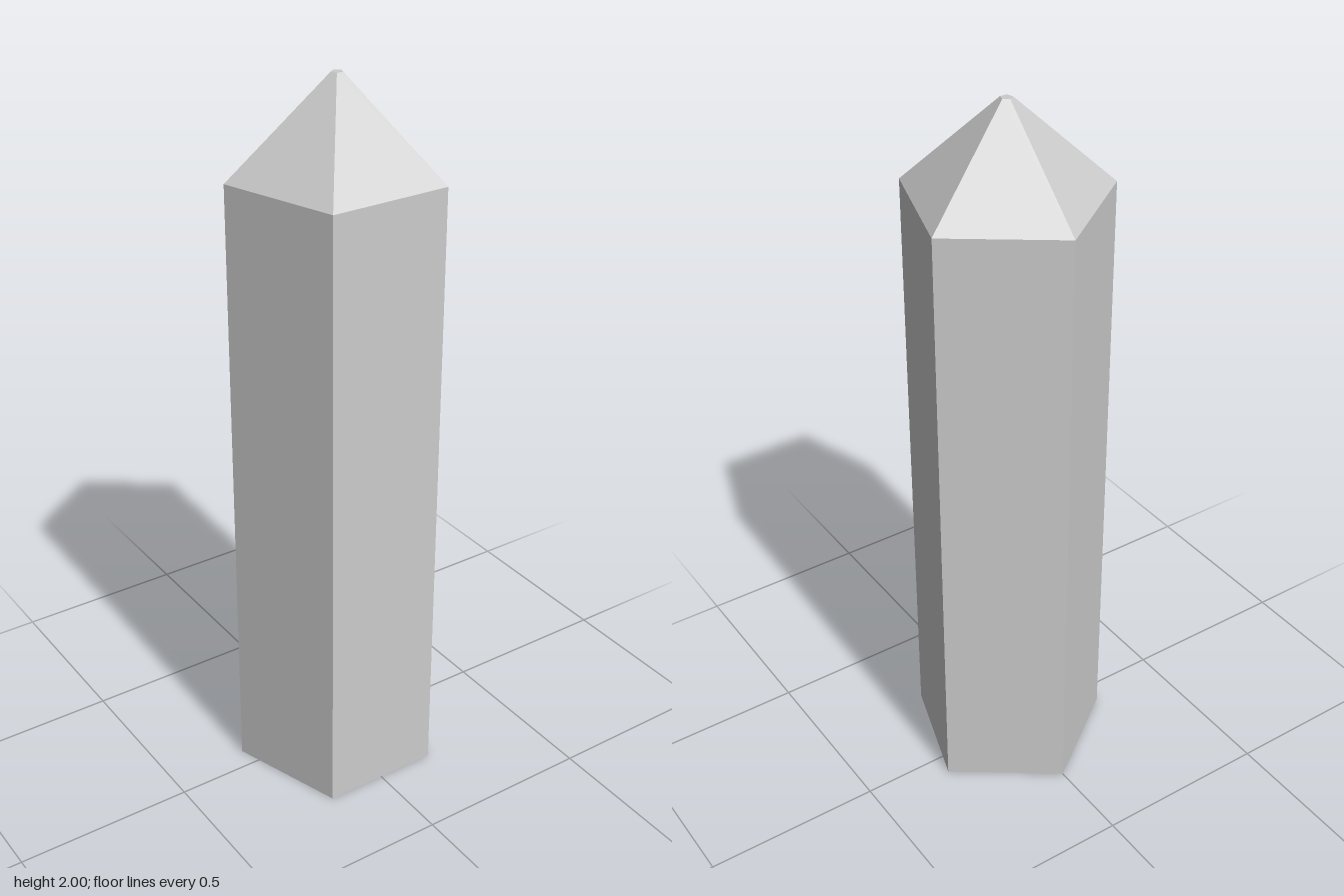
import * as THREE from 'three';

const SIDES = 5;
const RADIUS = 0.285;
const SHOULDER = 1.745;
const TIP_RADIUS = 0.016;

export function createModel() {
  const material = new THREE.MeshStandardMaterial({ color: 0xcccccc, flatShading: true });
  const crystal = new THREE.Group();
  crystal.name = 'crystal';

  // Five-sided solid turned from [radius, height] pairs, with one corner at the back
  const addPart = (name, profile) => {
    const points = profile.map(([r, y]) => new THREE.Vector2(r, y));
    const mesh = new THREE.Mesh(new THREE.LatheGeometry(points, SIDES, Math.PI), material);
    mesh.name = name;
    mesh.position.z = 0.027; // centres the pentagon's depth on z = 0
    crystal.add(mesh);
  };

  // Prism with a closed base
  addPart('shaft', [[0, 0], [RADIUS, 0], [RADIUS, SHOULDER]]);
  // Faceted point with a tiny flat top
  addPart('tip', [[RADIUS, SHOULDER], [TIP_RADIUS, 2], [0, 2]]);

  return crystal;
}
